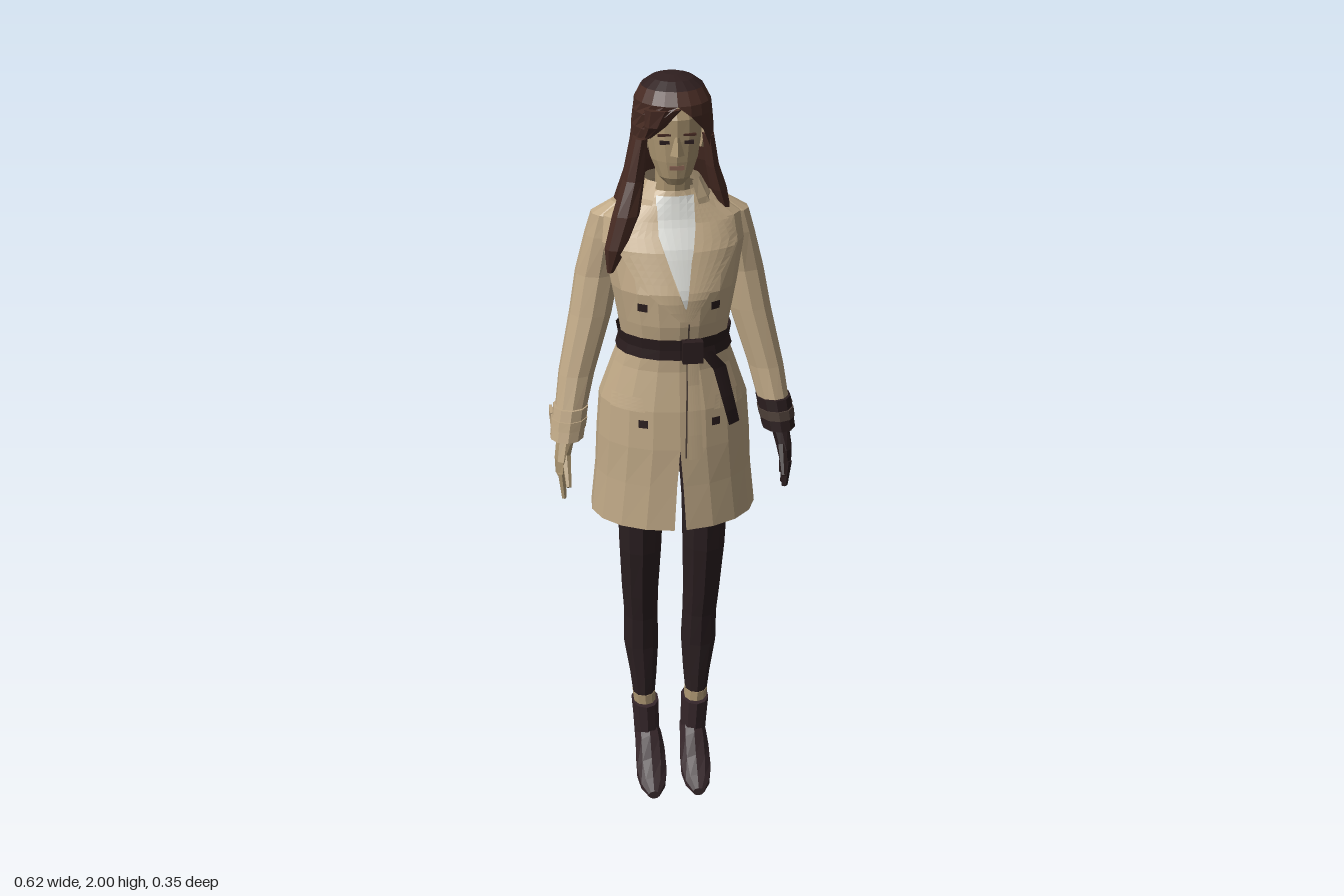
import * as THREE from 'three';

const mat = (name, color, side = THREE.FrontSide) => {
  const m = new THREE.MeshStandardMaterial({ color, side });
  m.name = name;
  return m;
};

// Faceted geometry from a grid of points
function gridGeometry(grid, capped) {
  const pos = [];
  const tri = (...pts) => pts.forEach(p => pos.push(...p));
  for (let i = 0; i < grid.length - 1; i++) {
    for (let j = 0; j < grid[i].length - 1; j++) {
      const [a, b, c, d] = [grid[i][j], grid[i][j + 1], grid[i + 1][j + 1], grid[i + 1][j]];
      tri(a, b, c);
      tri(a, c, d);
    }
  }
  if (capped) {
    const first = grid[0], last = grid[grid.length - 1];
    for (let j = 1; j < first.length - 2; j++) {
      tri(first[0], first[j + 1], first[j]);
      tri(last[0], last[j], last[j + 1]);
    }
  }
  const g = new THREE.BufferGeometry();
  g.setAttribute('position', new THREE.Float32BufferAttribute(pos, 3));
  g.computeVertexNormals();
  return g;
}

// Rings from bottom to top: [y, centreX, centreZ, radiusX, radiusZ, half angle of front opening]
function loft(rings, sides = 12, capped = true) {
  return gridGeometry(rings.map(([y, cx, cz, rx, rz, gap = 0]) =>
    Array.from({ length: sides + 1 }, (_, j) => {
      const a = gap + (j / sides) * (2 * Math.PI - 2 * gap);
      return [cx + rx * Math.sin(a), y, cz + rz * Math.cos(a)];
    })), capped);
}

// Coat body, hem to neck
const coatRings = [
  [0.88, 0, 0, 0.213, 0.168, 0.07], [1.0, 0, 0.002, 0.2, 0.161, 0.04],
  [1.1, 0, 0.005, 0.195, 0.155], [1.2, 0, 0.005, 0.187, 0.148],
  [1.3, 0, 0.013, 0.152, 0.124], [1.36, 0, 0.022, 0.13, 0.115],
  [1.42, 0, 0.022, 0.14, 0.126], [1.5, 0, 0.02, 0.155, 0.13],
  [1.6, 0, 0, 0.175, 0.112], [1.66, 0, -0.015, 0.168, 0.09],
  [1.7, 0, -0.015, 0.11, 0.076], [1.73, 0, -0.01, 0.062, 0.062],
];

function coatFront(x, y) {
  let i = 0;
  while (i < coatRings.length - 2 && coatRings[i + 1][0] < y) i++;
  const [a, b] = [coatRings[i], coatRings[i + 1]];
  const t = THREE.MathUtils.clamp((y - a[0]) / (b[0] - a[0]), 0, 1);
  const [cz, rx, rz] = [2, 3, 4].map(k => a[k] + (b[k] - a[k]) * t);
  return cz + rz * Math.sqrt(Math.max(0, 1 - (x / rx) ** 2));
}

// Thin panel lying on the coat front; rows from top down: [y, x from, x to]
function panel(rows, lift) {
  const grid = [], steps = 4;
  rows = [...rows].reverse();
  for (let i = 0; i < rows.length - 1; i++) {
    for (let k = i ? 1 : 0; k <= steps; k++) {
      const [y, x0, x1] = rows[i].map((v, n) => v + (rows[i + 1][n] - v) * k / steps);
      grid.push(Array.from({ length: 6 }, (_, j) => {
        const x = x0 + (x1 - x0) * j / 5;
        return [x, y, coatFront(x, y) + lift];
      }));
    }
  }
  return gridGeometry(grid, false);
}

// Tapered rod between two points
function rod(p, q, r0, r1, sides = 6) {
  const a = new THREE.Vector3(...p), b = new THREE.Vector3(...q), d = b.clone().sub(a);
  const g = new THREE.CylinderGeometry(r1, r0, d.length(), sides).toNonIndexed();
  g.computeVertexNormals();
  g.applyQuaternion(new THREE.Quaternion().setFromUnitVectors(new THREE.Vector3(0, 1, 0), d.normalize()));
  return g.translate(...a.add(b).multiplyScalar(0.5).toArray());
}

const box = (w, h, d, x, y, z) => new THREE.BoxGeometry(w, h, d).translate(x, y, z);

export function createModel() {
  const model = new THREE.Group();
  const coat = mat('coat tan', 0xbfa886, THREE.DoubleSide);
  const skin = mat('skin', 0xac9672);
  const hair = mat('hair brown', 0x472b23, THREE.DoubleSide);
  const crown = mat('crown dark brown', 0x2f1f1f);
  const legging = mat('legging black', 0x2c2022);
  const boot = mat('boot brown', 0x35262a);
  const leather = mat('belt and glove black', 0x2a1d1e, THREE.DoubleSide);
  const shirt = mat('shirt white', 0xd6d7d2, THREE.DoubleSide);
  const strap = mat('strap brown', 0x4e4039);
  const lip = mat('lip', 0x8a6554);
  const add = (name, geometry, material) => {
    const m = new THREE.Mesh(geometry, material);
    m.name = name;
    model.add(m);
    return m;
  };

  // Coat, shirt and collar
  add('coatBody', loft(coatRings, 18, false), coat);
  add('shirt', panel([[1.72, -0.045, 0.045], [1.65, -0.05, 0.045], [1.56, -0.02, 0.03], [1.47, 0.012, 0.02]], 0.006), shirt);
  add('rightLapel', panel([[1.7, -0.075, -0.045], [1.63, -0.13, -0.045], [1.59, -0.135, -0.032], [1.53, -0.1, -0.012], [1.44, 0, 0.022]], 0.014), coat);
  add('leftLapel', panel([[1.7, 0.045, 0.08], [1.66, 0.045, 0.13], [1.62, 0.04, 0.15], [1.58, 0.03, 0.13], [1.51, 0.02, 0.075], [1.44, 0.01, 0.03]], 0.014), coat);
  add('collar', loft([[1.67, 0, -0.01, 0.115, 0.092, 0.6], [1.71, 0, -0.01, 0.093, 0.082, 0.6], [1.75, 0, -0.015, 0.07, 0.066, 0.65]], 12, false), coat);
  add('frontSeam', panel([[1.43, 0.02, 0.024], [1.08, 0.012, 0.016]], 0.004), strap);
  for (const s of [-1, 1]) {
    const x = s * 0.125;
    add('pocketFlap', panel([[1.235, x - 0.035, x + 0.035], [1.2, x - 0.04, x + 0.04]], 0.008), coat);
    for (const [bx, by] of [[0.088, 1.47], [0.09, 1.17]]) {
      add('button', panel([[by + 0.01, s * bx - 0.011, s * bx + 0.011], [by - 0.01, s * bx - 0.011, s * bx + 0.011]], 0.009), leather);
    }
  }

  // Belt with knot and two hanging ends
  add('belt', loft([[1.335, 0, 0.02, 0.145, 0.127], [1.36, 0, 0.022, 0.138, 0.124], [1.388, 0, 0.022, 0.143, 0.127]], 18, false), leather);
  add('beltKnot', box(0.05, 0.055, 0.025, 0.03, 1.36, 0.152), leather);
  add('coatTie', panel([[1.335, 0.018, 0.045], [1.08, 0.02, 0.056]], 0.015), coat);
  add('beltEnd', panel([[1.35, 0.05, 0.08], [1.3, 0.085, 0.12], [1.15, 0.125, 0.155]], 0.014), leather);

  for (const s of [-1, 1]) {
    const gloved = s > 0;
    const side = gloved ? 'left' : 'right';
    const mirror = rings => rings.map(([y, x, ...r]) => [y, s * x, ...r]);

    // Sleeve and cuff
    add(side + 'Sleeve', loft(mirror([
      [1.15, 0.26, 0.003, 0.04, 0.045], [1.25, 0.24, -0.02, 0.046, 0.047],
      [1.4, 0.2, -0.045, 0.054, 0.053], [1.5, 0.18, -0.06, 0.056, 0.056],
      [1.6, 0.163, -0.056, 0.047, 0.056], [1.655, 0.15, -0.05, 0.044, 0.048], [1.685, 0.12, -0.045, 0.025, 0.028],
    ]), 10), coat);
    add(side + 'Cuff', loft(mirror([[1.09, 0.271, 0.018, 0.043, 0.05], [1.17, 0.258, 0.002, 0.045, 0.05]]), 10), gloved ? leather : coat);
    add(side + 'CuffStrap', loft(mirror([[1.118, 0.267, 0.012, 0.046, 0.053], [1.142, 0.263, 0.008, 0.047, 0.053]]), 10), gloved ? strap : coat);
    add(side + 'CuffTab', box(0.008, 0.03, 0.05, s * 0.306, 1.13, -0.03), gloved ? strap : coat);

    // Hand with four fingers and a thumb
    const hand = gloved ? leather : skin;
    add(side + 'Palm', loft(mirror([[1.0, 0.288, 0.036, 0.015, 0.038], [1.04, 0.284, 0.034, 0.02, 0.04], [1.1, 0.272, 0.02, 0.024, 0.028]]), 8), hand);
    for (let i = 0; i < 4; i++) {
      const z = 0.006 + i * 0.02;
      const tip = [0.95, 0.932, 0.93, 0.942][i];
      add(side + 'Finger', rod([s * 0.289, 1.01, z], [s * 0.284, tip, z + 0.003], 0.011, 0.006), hand);
    }
    add(side + 'Thumb', rod([s * 0.276, 1.05, 0.055], [s * 0.274, 0.985, 0.1], 0.013, 0.007), hand);

    // Leg and bare ankle
    add(side + 'Leg', loft(mirror([
      [0.262, 0.073, -0.058, 0.031, 0.037], [0.32, 0.074, -0.06, 0.037, 0.043],
      [0.42, 0.079, -0.063, 0.048, 0.052], [0.52, 0.08, -0.05, 0.046, 0.053],
      [0.6, 0.083, -0.04, 0.049, 0.062], [0.75, 0.084, -0.012, 0.056, 0.066],
      [0.88, 0.084, 0, 0.06, 0.073], [1.02, 0.086, 0, 0.072, 0.08],
    ]), 10), legging);
    add(side + 'Ankle', loft(mirror([[0.22, 0.07, -0.056, 0.031, 0.036], [0.264, 0.073, -0.057, 0.032, 0.038]]), 10), skin);

    // Ankle boot: shaft, arched foot and stiletto heel
    add(side + 'BootShaft', loft(mirror([
      [0.1, 0.065, -0.062, 0.034, 0.05], [0.17, 0.067, -0.058, 0.036, 0.05], [0.235, 0.07, -0.057, 0.038, 0.053],
    ]), 10), boot);
    const foot = loft(mirror([
      [-0.115, 0.064, -0.11, 0.02, 0.03], [-0.085, 0.064, -0.115, 0.034, 0.045],
      [-0.04, 0.063, -0.11, 0.038, 0.06], [0, 0.062, -0.083, 0.042, 0.063],
      [0.035, 0.062, -0.048, 0.043, 0.046], [0.07, 0.062, -0.027, 0.035, 0.026], [0.096, 0.062, -0.013, 0.016, 0.012],
    ]), 10).rotateX(Math.PI / 2);
    add(side + 'BootFoot', foot, boot);
    add(side + 'BootHeel', rod([s * 0.064, 0, -0.096], [s * 0.064, 0.1, -0.088], 0.01, 0.027), boot);
  }

  // Neck, head and face
  add('neck', loft([[1.66, 0, 0.005, 0.055, 0.055], [1.72, 0, 0.003, 0.042, 0.044], [1.8, 0, 0.005, 0.042, 0.046]], 10), skin);
  add('head', loft([
    [1.752, 0, 0.056, 0.02, 0.02], [1.77, 0, 0.043, 0.04, 0.043], [1.81, 0, 0.025, 0.057, 0.066],
    [1.86, 0, 0.013, 0.066, 0.081], [1.91, 0, 0.008, 0.068, 0.086], [1.96, 0, 0, 0.054, 0.07],
  ], 14), skin);
  add('nose', rod([0, 1.828, 0.094], [0, 1.872, 0.092], 0.017, 0.005, 4), skin);
  add('mouth', box(0.034, 0.01, 0.008, 0, 1.797, 0.086), lip);
  for (const s of [-1, 1]) {
    add('eye', box(0.024, 0.008, 0.008, s * 0.028, 1.858, 0.085).rotateY(0), leather);
    add('eyebrow', box(0.03, 0.005, 0.008, s * 0.03, 1.876, 0.087), hair);
    add('ear', rod([s * 0.066, 1.825, 0.008], [s * 0.076, 1.865, 0.004], 0.01, 0.014), skin);
  }

  // Long hair open around the face, with a dark crown
  add('hair', loft([
    [1.43, 0, -0.112, 0.085, 0.042, 1.6], [1.47, 0, -0.1, 0.122, 0.07, 1.58],
    [1.58, 0, -0.09, 0.145, 0.088, 1.5], [1.68, 0, -0.06, 0.137, 0.098, 1.35],
    [1.76, 0, -0.03, 0.115, 0.102, 1.2], [1.84, 0, -0.012, 0.1, 0.106, 0.95],
    [1.885, 0, -0.004, 0.097, 0.112, 0.7], [1.92, 0, 0, 0.094, 0.11, 0.35],
    [1.945, 0, 0, 0.09, 0.106, 0], [1.974, 0, -0.004, 0.074, 0.086, 0],
  ], 18, false), hair);
  add('crown', loft([[1.974, 0, -0.004, 0.074, 0.086], [1.991, 0, -0.004, 0.05, 0.058], [2, 0, -0.004, 0.02, 0.024]], 18), crown);
  add('hairUnderside', loft([[1.43, 0, -0.11, 0.085, 0.036], [1.48, 0, -0.105, 0.118, 0.06], [1.62, 0, -0.08, 0.13, 0.07]], 12), hair);
  add('rightFrontLock', loft([
    [1.54, -0.158, 0.068, 0.008, 0.008], [1.6, -0.143, 0.068, 0.028, 0.026], [1.68, -0.118, 0.06, 0.033, 0.03],
    [1.76, -0.097, 0.038, 0.026, 0.034], [1.86, -0.08, 0.032, 0.018, 0.036],
  ], 8), hair);
  add('leftFrontLock', loft([
    [1.66, 0.13, -0.01, 0.014, 0.03], [1.72, 0.112, -0.005, 0.02, 0.04], [1.78, 0.095, 0.005, 0.016, 0.036], [1.86, 0.082, 0.02, 0.014, 0.03],
  ], 8), hair);
  add('fringe', loft([[1.865, -0.066, 0.062, 0.01, 0.012], [1.895, -0.048, 0.078, 0.026, 0.022], [1.935, -0.03, 0.08, 0.045, 0.026]], 8), hair);
  return model;
}
